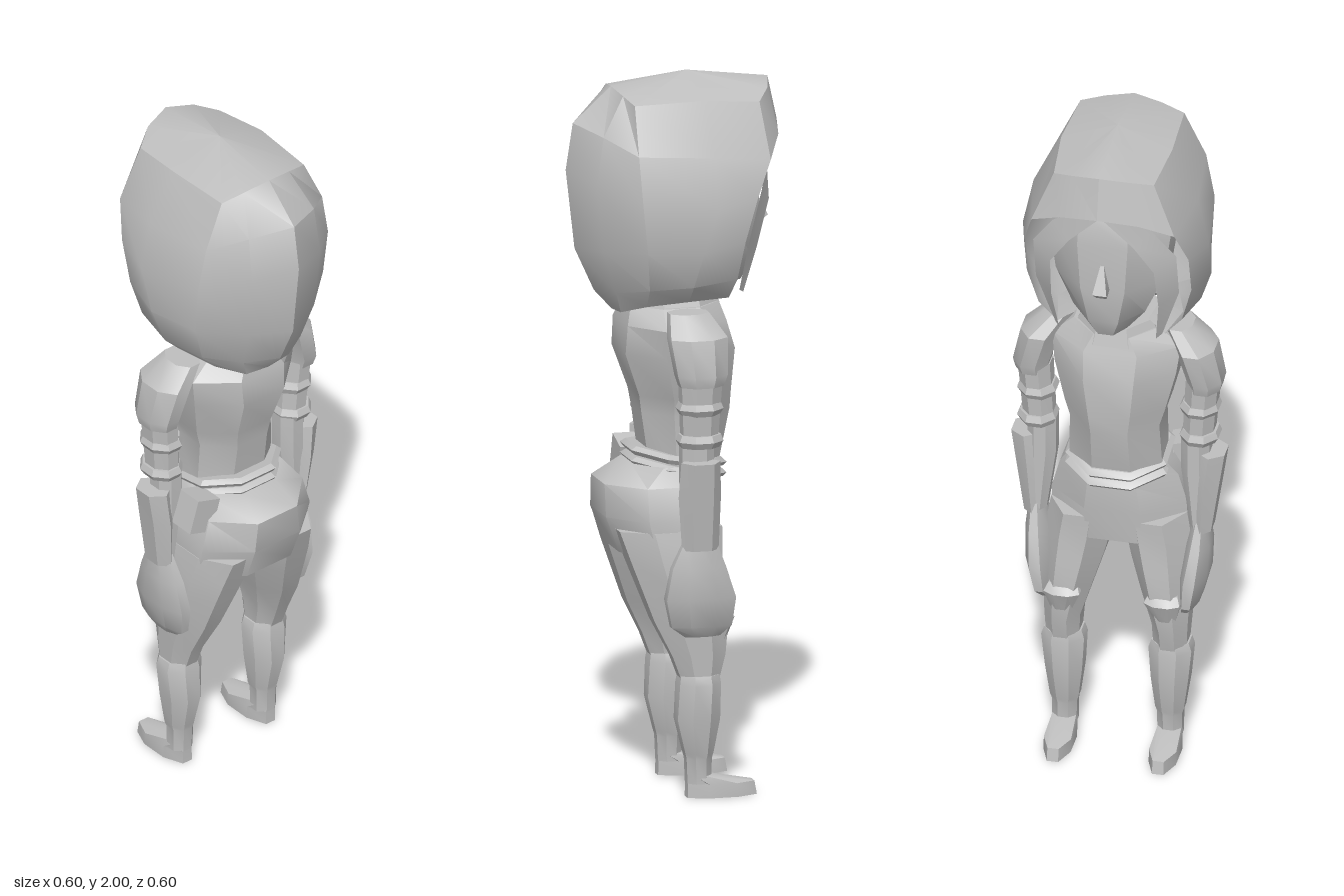
import * as THREE from 'three';
import { toCreasedNormals } from 'three/addons/utils/BufferGeometryUtils.js';

const material = new THREE.MeshStandardMaterial({ color: 0xbfbfbf, side: THREE.DoubleSide });
material.name = 'plain grey';

// Skins rows of points, bottom to top; a null point leaves a gap
function loft(rows, { closed = true, caps = true, crease = 0.5 } = {}) {
  const pos = [];
  const tri = (a, b, c) => pos.push(...a, ...b, ...c);
  const n = rows[0].length;
  for (let r = 0; r < rows.length - 1; r++) {
    for (let i = 0; i < (closed ? n : n - 1); i++) {
      const j = (i + 1) % n;
      const a = rows[r][i], b = rows[r][j], c = rows[r + 1][j], d = rows[r + 1][i];
      if (!a || !b || !c || !d) continue;
      tri(a, d, c);
      tri(a, c, b);
    }
  }
  if (closed && caps) {
    [rows[0], rows[rows.length - 1]].forEach((row, top) => {
      const mid = [0, 1, 2].map(k => row.reduce((s, p) => s + p[k], 0) / n);
      for (let i = 0; i < n; i++) {
        const a = row[i], b = row[(i + 1) % n];
        if (top) tri(mid, b, a); else tri(mid, a, b);
      }
    });
  }
  const geo = new THREE.BufferGeometry();
  geo.setAttribute('position', new THREE.Float32BufferAttribute(pos, 3));
  return toCreasedNormals(geo, crease);
}

// Eight-sided section with flat front, back and sides; tilt raises its back
function ring([y, cx, cz, rx, rz], tilt = 0, n = 8) {
  const k = 1 / Math.cos(Math.PI / n);
  return Array.from({ length: n }, (_, i) => {
    const a = (i + 0.5) / n * Math.PI * 2;
    const z = cz + Math.sin(a) * rz * k;
    return [cx + Math.cos(a) * rx * k, y + tilt * z, z];
  });
}

export function createModel() {
  const model = new THREE.Group();
  const add = (name, geo) => {
    const mesh = new THREE.Mesh(geo, material);
    mesh.name = name;
    model.add(mesh);
    return mesh;
  };
  const body = (name, sections, tilt = 0, n = 8, crease = 0.5) =>
    add(name, loft(sections.map(s => ring(s, tilt, n)), { crease }));

  // Hood: half rows from back centre round to the front opening
  const hoodHalves = [
    [[0, 1.36, 0.09], [0.05, 1.37, 0.08], [0.09, 1.40, 0.06], [0.11, 1.42, -0.02], [0.10, 1.42, -0.10]],
    [[0, 1.345, 0.17], [0.075, 1.35, 0.165], [0.14, 1.375, 0.11], [0.175, 1.39, 0], [0.15, 1.39, -0.12]],
    [[0, 1.40, 0.22], [0.10, 1.41, 0.185], [0.19, 1.43, 0.115], [0.225, 1.44, 0], [0.20, 1.45, -0.13]],
    [[0, 1.52, 0.275], [0.115, 1.53, 0.225], [0.225, 1.54, 0.13], [0.258, 1.54, -0.02], [0.23, 1.56, -0.145]],
    [[0, 1.74, 0.30], [0.12, 1.72, 0.245], [0.23, 1.68, 0.145], [0.26, 1.66, -0.06], [0.23, 1.68, -0.18]],
    [[0, 1.87, 0.28], [0.115, 1.85, 0.225], [0.205, 1.81, 0.15], [0.23, 1.80, -0.06], [0.20, 1.78, -0.225],
      [0.11, 1.83, -0.272], [0, 1.85, -0.298]],
    [[0, 1.967, 0.172], [0.08, 1.955, 0.16], [0.145, 1.94, 0.145], [0.155, 1.945, -0.05], [0.14, 1.93, -0.21],
      [0.08, 1.955, -0.25], [0, 1.97, -0.272]],
    Array(7).fill([0, 2, -0.04]),
  ];
  const hoodRows = hoodHalves.map(half => {
    const full = Array.from({ length: 7 }, (_, i) => half[i] || null);
    const mirrored = full.slice(1).map(p => p && [-p[0], p[1], p[2]]);
    return [...full.reverse(), ...mirrored];
  });
  add('hood', loft(hoodRows, { closed: false, crease: 0.55 }));

  // Head and neck
  body('head', [
    [1.41, 0, -0.11, 0.05, 0.08], [1.47, 0, -0.09, 0.10, 0.13], [1.58, 0, -0.08, 0.15, 0.15],
    [1.72, 0, -0.07, 0.17, 0.16], [1.82, 0, -0.06, 0.16, 0.16], [1.90, 0, -0.05, 0.10, 0.11],
  ], 0, 8, 0.7);
  body('nose', [
    [1.56, 0, -0.225, 0.014, 0.015], [1.585, 0, -0.235, 0.02, 0.033], [1.66, 0, -0.225, 0.005, 0.008],
  ], 0, 4);
  body('neck', [[1.32, 0, 0, 0.07, 0.07], [1.45, 0, -0.02, 0.06, 0.065]]);

  // Torso, collar, belt and hips
  body('torso', [
    [0.92, 0, -0.02, 0.13, 0.10], [1.06, 0, -0.025, 0.125, 0.125], [1.11, 0, -0.022, 0.14, 0.13],
    [1.23, 0, -0.005, 0.17, 0.155], [1.31, 0, 0.005, 0.18, 0.14], [1.36, 0, 0.005, 0.12, 0.125],
  ]);
  body('collar', [[1.33, 0, 0, 0.12, 0.13], [1.385, 0, 0, 0.10, 0.115]]);
  for (const y of [0.905, 0.935]) {
    body('belt', [
      [y - 0.012, 0, -0.005, 0.135, 0.125], [y, 0, -0.005, 0.142, 0.135], [y + 0.012, 0, -0.005, 0.13, 0.12],
    ], 0.18);
  }
  body('hips', [
    [0.68, 0, 0.035, 0.185, 0.135], [0.78, 0, 0.05, 0.19, 0.158],
    [0.87, 0, 0.047, 0.165, 0.162], [0.92, 0, 0.01, 0.135, 0.12],
  ], 0, 8, 0.7);

  // Pouch on the right hip
  const pouch = add('pouch', new THREE.BoxGeometry(0.08, 0.10, 0.08));
  pouch.position.set(-0.175, 0.89, 0.07);
  pouch.rotation.z = -0.3;

  for (const s of [1, -1]) {
    const side = s > 0 ? 'left' : 'right';
    const limb = (name, sections, n = 8) =>
      body(side + name, sections.map(([y, cx, ...rest]) => [y, cx * s, ...rest]), 0, n);

    // Hair lock framing the face
    const lock = [
      [[0.15, 1.41, -0.15], [0.135, 1.40, -0.165]], [[0.20, 1.56, -0.165], [0.15, 1.53, -0.20]],
      [[0.20, 1.70, -0.20], [0.145, 1.66, -0.235]], [[0.14, 1.79, -0.23], [0.09, 1.74, -0.245]],
      [[0.02, 1.87, -0.25], [0.0, 1.83, -0.255]],
    ];
    add(side + 'HairLock', loft(lock.map(row => row.map(([x, y, z]) => [x * s, y, z])), { closed: false }));

    // Arm
    limb('ShoulderPad', [
      [1.17, 0.24, -0.015, 0.045, 0.06], [1.20, 0.242, -0.015, 0.05, 0.07],
      [1.30, 0.215, -0.012, 0.055, 0.08], [1.36, 0.165, 0, 0.04, 0.055],
    ]);
    limb('UpperArm', [[1.0, 0.222, -0.015, 0.042, 0.048], [1.19, 0.235, -0.015, 0.045, 0.058]]);
    for (const y of [1.105, 1.015]) {
      limb('ArmBand', [
        [y - 0.018, 0.225, -0.015, 0.046, 0.052], [y, 0.227, -0.015, 0.054, 0.062],
        [y + 0.018, 0.228, -0.015, 0.046, 0.055],
      ]);
    }
    limb('Forearm', [[0.72, 0.225, -0.015, 0.025, 0.04], [0.90, 0.215, -0.01, 0.04, 0.045], [1.01, 0.215, -0.01, 0.04, 0.045]]);
    limb('Gauntlet', [
      [0.71, 0.235, -0.015, 0.026, 0.045], [0.86, 0.247, -0.01, 0.036, 0.052], [0.96, 0.258, -0.01, 0.04, 0.048],
    ], 6);
    limb('Hand', [
      [0.46, 0.195, -0.03, 0.02, 0.05], [0.49, 0.205, -0.025, 0.028, 0.085], [0.57, 0.215, -0.02, 0.038, 0.098],
      [0.66, 0.225, -0.012, 0.032, 0.075], [0.74, 0.23, -0.015, 0.02, 0.042],
    ]);

    // Leg, boot and foot
    limb('Thigh', [
      [0.32, 0.15, -0.035, 0.046, 0.05], [0.40, 0.15, -0.03, 0.05, 0.075], [0.50, 0.137, -0.01, 0.068, 0.105],
      [0.60, 0.122, 0.012, 0.084, 0.12], [0.67, 0.112, 0.028, 0.092, 0.13], [0.75, 0.1, 0.04, 0.09, 0.145],
    ]);
    limb('KneeFlap', [
      [0.44, 0.145, -0.09, 0.03, 0.02], [0.50, 0.14, -0.105, 0.05, 0.028], [0.52, 0.14, -0.09, 0.04, 0.02],
    ]);
    limb('Boot', [
      [0.04, 0.147, -0.033, 0.034, 0.033], [0.11, 0.147, -0.033, 0.035, 0.036], [0.125, 0.147, -0.033, 0.04, 0.04],
      [0.22, 0.148, -0.03, 0.052, 0.06], [0.32, 0.15, -0.033, 0.06, 0.058], [0.345, 0.15, -0.033, 0.052, 0.054],
    ]);
    limb('Foot', [
      [0, 0.147, -0.098, 0.038, 0.098], [0.038, 0.147, -0.095, 0.038, 0.094], [0.062, 0.147, -0.034, 0.033, 0.034],
    ]);
  }
  return model;
}
